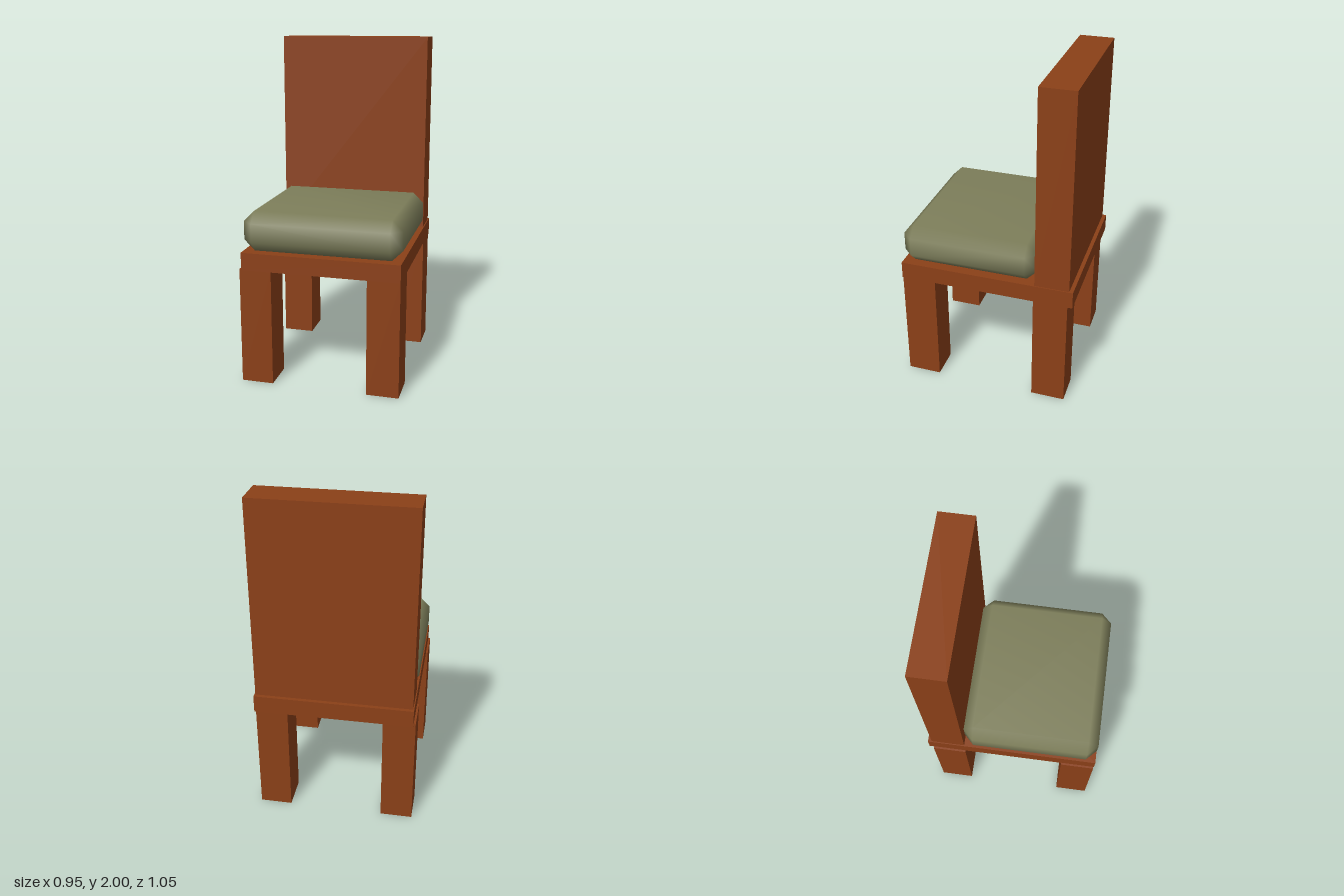
import * as THREE from 'three';
import { ConvexGeometry } from 'three/addons/geometries/ConvexGeometry.js';
import { mergeVertices } from 'three/addons/utils/BufferGeometryUtils.js';

const wood = new THREE.MeshStandardMaterial({ color: 0x8b4018 });
const fabric = new THREE.MeshStandardMaterial({ color: 0x7d7e5a });

// Place a mesh so that its centre lies midway between two opposite corners
function place(name, geometry, material, min, max) {
  const mesh = new THREE.Mesh(geometry, material);
  mesh.name = name;
  mesh.position.set(...min.map((v, i) => (v + max[i]) / 2));
  return mesh;
}

function woodBlock(name, min, max) {
  const size = min.map((v, i) => max[i] - v);
  return place(name, new THREE.BoxGeometry(...size), wood, min, max);
}

// Box with every edge bevelled once, shaded smoothly
function bevelledBox(w, h, d, r) {
  const half = [w / 2, h / 2, d / 2];
  const points = [];
  for (const sx of [-1, 1]) for (const sy of [-1, 1]) for (const sz of [-1, 1]) {
    for (let axis = 0; axis < 3; axis++) {
      const p = [sx, sy, sz].map((s, i) => s * (half[i] - (i === axis ? 0 : r)));
      points.push(new THREE.Vector3(...p));
    }
  }
  const geometry = new ConvexGeometry(points);
  geometry.deleteAttribute('normal');
  const smooth = mergeVertices(geometry, 1e-4);
  smooth.computeVertexNormals();
  return smooth;
}

export function createModel() {
  const chair = new THREE.Group();
  chair.name = 'chair';

  // Four square legs
  for (const [side, x0, x1] of [['Right', -0.477, -0.286], ['Left', 0.281, 0.472]]) {
    for (const [end, z0, z1] of [['front', 0.318, 0.523], ['back', -0.498, -0.293]]) {
      chair.add(woodBlock(`${end}${side}Leg`, [x0, 0, z0], [x1, 0.7, z1]));
    }
  }

  // Seat board and upright back panel
  chair.add(woodBlock('seat', [-0.465, 0.695, -0.527], [0.473, 0.8, 0.527]));
  chair.add(woodBlock('backrest', [-0.459, 0.8, -0.504], [0.467, 2, -0.298]));

  // Soft cushion
  const min = [-0.465, 0.8, -0.3], max = [0.473, 1.037, 0.525];
  const size = min.map((v, i) => max[i] - v);
  chair.add(place('cushion', bevelledBox(...size, 0.063), fabric, min, max));

  return chair;
}
